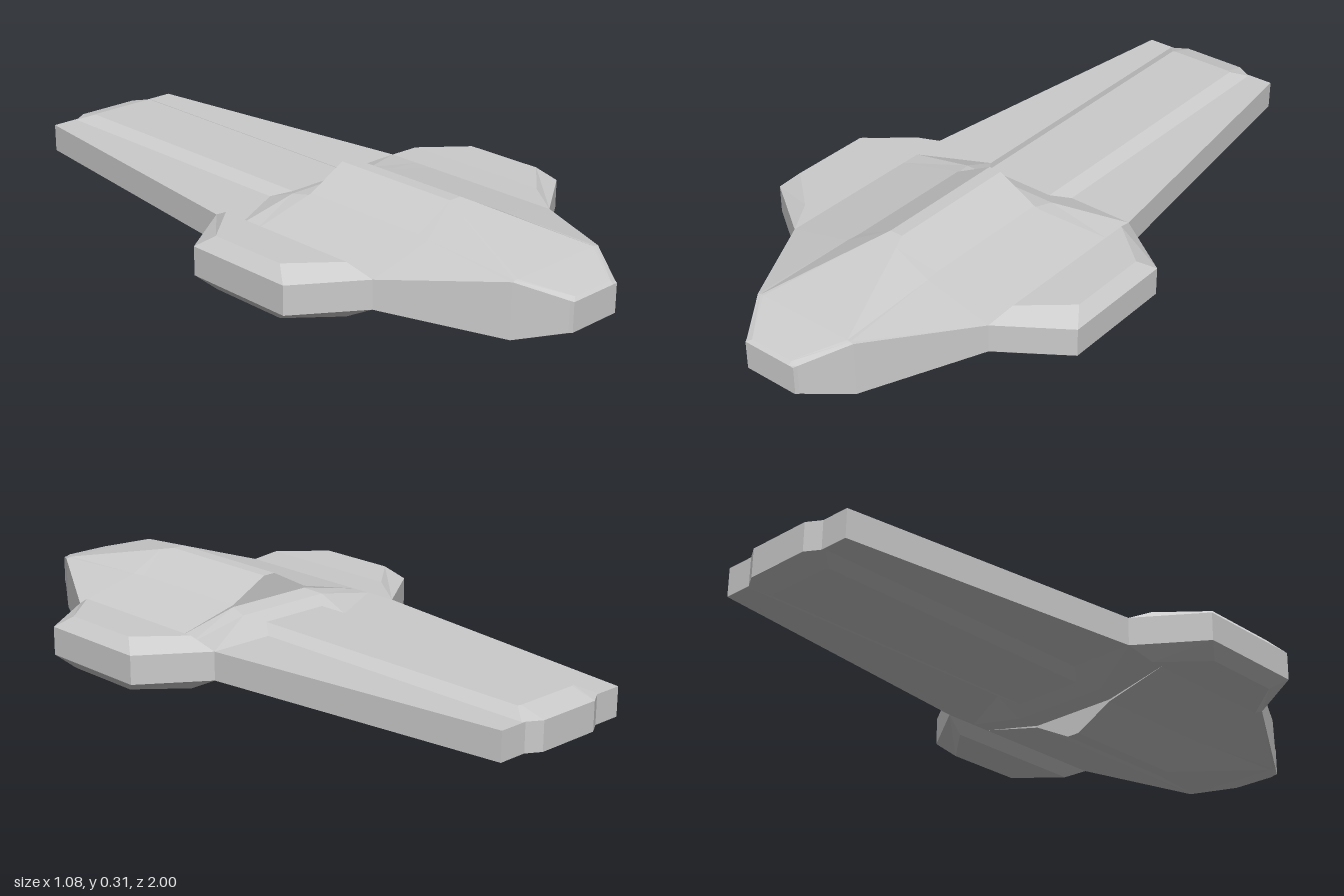
import * as THREE from 'three';

const MID = 0.1575; // height of the horizontal symmetry plane
const material = new THREE.MeshStandardMaterial({ color: 0xcccccc, flatShading: true });

// Skin a list of equal-length closed rings with quads and close both ends.
function loft(name, rings) {
  const pos = [];
  const tri = (...pts) => pts.forEach((p) => pos.push(...p));
  const n = rings[0].length;
  for (let r = 0; r + 1 < rings.length; r++) {
    for (let i = 0; i < n; i++) {
      const j = (i + 1) % n, a = rings[r], b = rings[r + 1];
      tri(a[i], a[j], b[j]);
      tri(a[i], b[j], b[i]);
    }
  }
  const first = rings[0], last = rings[rings.length - 1];
  for (let i = 1; i + 1 < n; i++) {
    tri(first[0], first[i + 1], first[i]);
    tri(last[0], last[i], last[i + 1]);
  }
  const geometry = new THREE.BufferGeometry();
  geometry.setAttribute('position', new THREE.Float32BufferAttribute(pos, 3));
  geometry.computeVertexNormals();
  const mesh = new THREE.Mesh(geometry, material);
  mesh.name = name;
  return mesh;
}

// Slab with a vertical rim and chamfers, from plan outlines of [x, z].
function chamferedSlab(name, rim, plateau, rimH, topH) {
  const level = (outline, h) => outline.map(([x, z]) => [x, h, z]);
  return loft(name, [level(plateau, -topH), level(rim, -rimH), level(rim, rimH), level(plateau, topH)]);
}

// Hull section mirrored left/right and top/bottom from ridge, crease and rim points.
function hullSection([z, ridge, crease, rim]) {
  const q = [rim, crease, ridge];
  const rev = [...q].reverse();
  return [
    ...q.map(([x, h]) => [x, h, z]),
    ...rev.map(([x, h]) => [-x, h, z]),
    ...q.map(([x, h]) => [-x, -h, z]),
    ...rev.map(([x, h]) => [x, -h, z]),
  ];
}

export function createModel() {
  const group = new THREE.Group();
  group.name = 'spacecraft';
  const body = new THREE.Group();
  body.name = 'body';
  body.position.y = MID;
  group.add(body);

  // Hull and tail deck, from stern to nose: z, ridge, crease, rim
  const sections = [
    [-0.975, [0.02, 0.042], [0.1, 0.042], [0.23, 0.042]],
    [-0.05, [0.02, 0.042], [0.15, 0.042], [0.35, 0.042]],
    [0.05, [0.02, 0.08], [0.155, 0.08], [0.35, 0.042]],
    [0.11, [0.02, 0.088], [0.14, 0.088], [0.35, 0.042]],
    [0.11, [0.02, 0.1575], [0.14, 0.094], [0.35, 0.042]],
    [0.52, [0.02, 0.1575], [0.14, 0.094], [0.35, 0.042]],
    [0.56, [0.036, 0.149], [0.145, 0.093], [0.35, 0.042]],
    [0.87, [0.15, 0.083], [0.16, 0.082], [0.17, 0.08]],
    [0.99, [0.065, 0.05], [0.07, 0.05], [0.09, 0.044]],
    [1.0, [0.065, 0.042], [0.07, 0.042], [0.085, 0.042]],
  ];
  body.add(loft('hull', sections.map(hullSection)));

  // Raised spar along the tail, above and below the deck
  const bothSides = (pts) => [...pts, ...[...pts].reverse().map(([x, z]) => [-x, z])];
  body.add(chamferedSlab('tailSpar',
    bothSides([[0.15, 0.04], [0.15, -0.97], [0.1, -1]]),
    bothSides([[0.11, 0.03], [0.11, -0.922], [0.1, -0.925]]),
    0.042, 0.062));

  // Side pods, the right one turned half round
  for (const [name, turn] of [['leftPod', 0], ['rightPod', Math.PI]]) {
    const pod = chamferedSlab(name,
      [[0.35, 0.305], [0.54, 0.175], [0.54, -0.175], [0.35, -0.305]],
      [[0.375, 0.235], [0.505, 0.125], [0.505, -0.125], [0.375, -0.235]],
      0.042, 0.077);
    pod.position.z = 0.255;
    pod.rotation.y = turn;
    body.add(pod);
  }
  return group;
}
